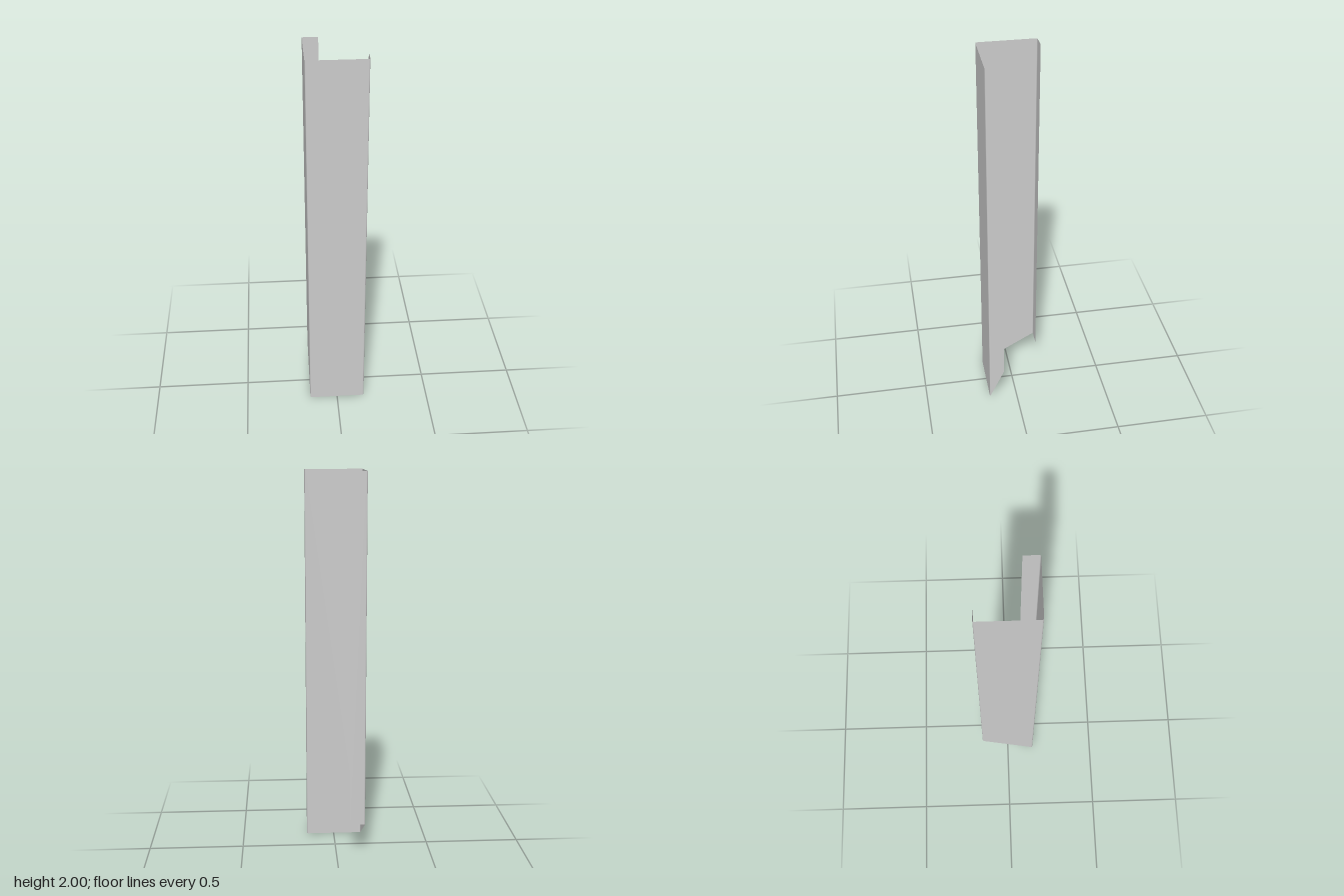
import * as THREE from 'three';

const H = 2;        // height
const R = 0.15;     // half width
const LIP = 0.07;   // free edge of each lip
const CUT = 0.175;  // height of the mitred foot
const BEND = 0.008; // bend radius

// Open cross-section (x, z): side lip, front, side wall, back lip, with small rounded bends
function section() {
  const corners = [[R, LIP], [R, R], [-R, R], [-R, -R], [-LIP, -R]].map(([x, z]) => new THREE.Vector2(x, z));
  const points = [corners[0]];
  for (let i = 1; i < corners.length - 1; i++) {
    const c = corners[i];
    const before = corners[i - 1].clone().sub(c).setLength(BEND).add(c);
    const after = corners[i + 1].clone().sub(c).setLength(BEND).add(c);
    points.push(...new THREE.QuadraticBezierCurve(before, c, after).getPoints(4));
  }
  points.push(corners[corners.length - 1]);
  return points;
}

// Height of the slanted lower edge: steep on the side lip, gentle on the side wall
function footHeight(x, z) {
  const run = x > 0 ? R - LIP : 2 * R;
  return CUT * (R - z) / run;
}

export function createModel() {
  const profile = section();
  const positions = [];
  const indices = [];
  profile.forEach((p, i) => {
    positions.push(p.x, footHeight(p.x, p.y), p.y, p.x, H, p.y);
    if (i === 0) return;
    const a = 2 * (i - 1), b = 2 * i;
    indices.push(a, b, a + 1, b, b + 1, a + 1);
  });
  // Order the corners so the front panel faces +z
  for (let i = 0; i < indices.length; i += 3) {
    [indices[i + 1], indices[i + 2]] = [indices[i + 2], indices[i + 1]];
  }

  const geometry = new THREE.BufferGeometry();
  geometry.setAttribute('position', new THREE.Float32BufferAttribute(positions, 3));
  geometry.setIndex(indices);
  geometry.computeVertexNormals();

  const channel = new THREE.Mesh(
    geometry,
    new THREE.MeshStandardMaterial({ color: 0xcccccc, side: THREE.DoubleSide })
  );
  channel.name = 'foldedChannel';

  const group = new THREE.Group();
  group.name = 'mitredChannelPost';
  group.add(channel);
  return group;
}
